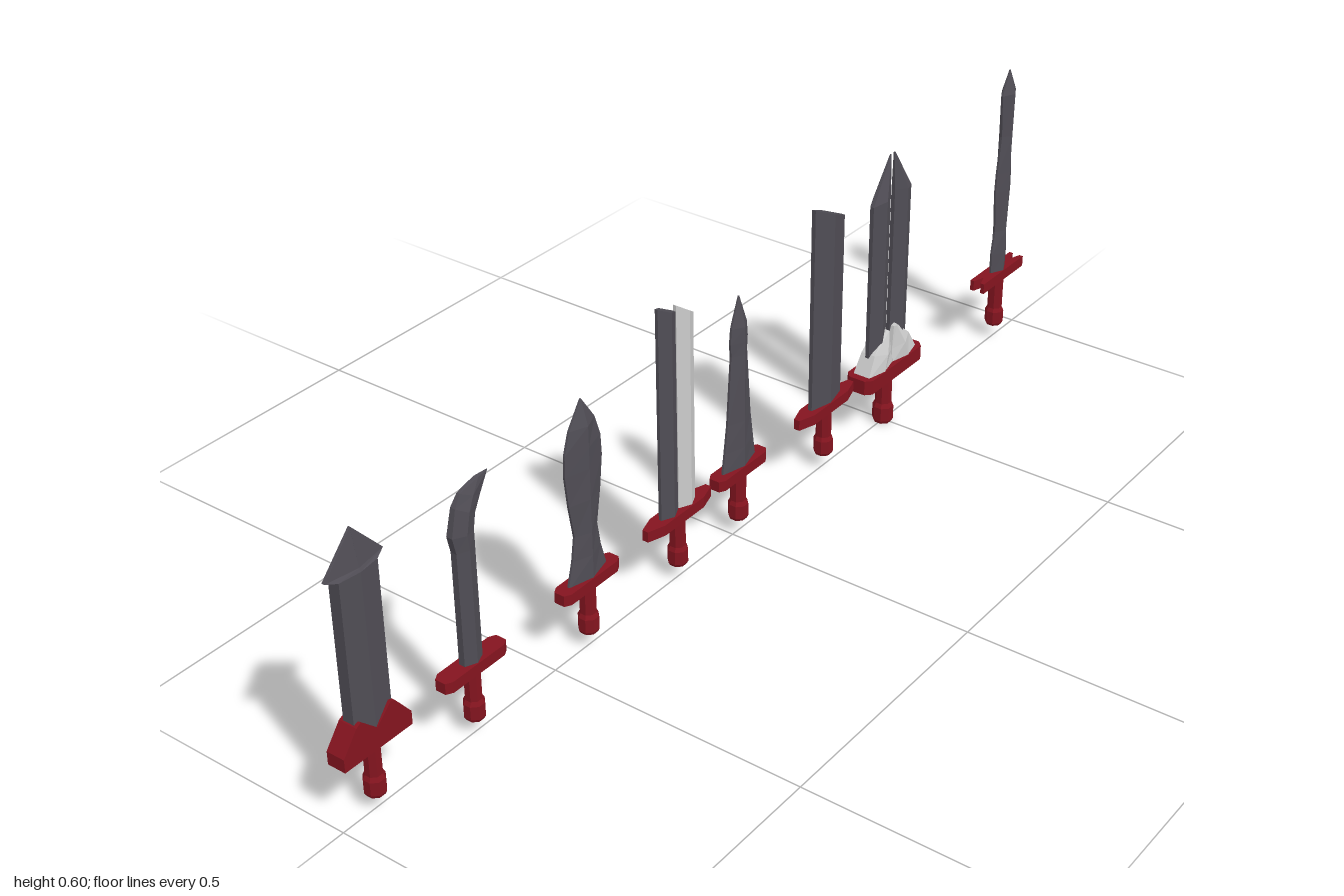
import * as THREE from 'three';

const steel = new THREE.MeshStandardMaterial({ color: 0x504d55, flatShading: true });
const red = new THREE.MeshStandardMaterial({ color: 0x84141f, flatShading: true });
const pale = new THREE.MeshStandardMaterial({ color: 0xcccccc, flatShading: true });

function add(parent, name, geometry, material) {
  const mesh = new THREE.Mesh(geometry, material);
  mesh.name = name;
  parent.add(mesh);
  return mesh;
}

// Six-sided loft; each row is [zFront, yFront, zBack, yBack, ridge half thickness, edge half thickness]
function loft(rows) {
  const pos = [], idx = [], n = 6;
  for (const [za, ya, zb, yb, t, e] of rows) {
    const zm = (za + zb) / 2, ym = (ya + yb) / 2;
    pos.push(e, ya, za, t, ym, zm, e, yb, zb, -e, yb, zb, -t, ym, zm, -e, ya, za);
  }
  const last = (rows.length - 1) * n;
  for (let r = 0; r < last; r += n) {
    for (let i = 0; i < n; i++) {
      const j = (i + 1) % n;
      idx.push(r + i, r + j, r + n + j, r + i, r + n + j, r + n + i);
    }
  }
  for (let i = 1; i < n - 1; i++) {
    idx.push(0, i + 1, i, last, last + i, last + i + 1);
  }
  const g = new THREE.BufferGeometry();
  g.setAttribute('position', new THREE.Float32BufferAttribute(pos, 3));
  g.setIndex(idx);
  g.computeVertexNormals();
  return g;
}

// Symmetric blade from [y, half width, ridge, edge] rows
const evenBlade = rows => loft(rows.map(([y, w, t = 0.015, e = 0.002]) => [w, y, -w, y, t, e]));

const shapeOf = pts => new THREE.Shape(pts.map(p => new THREE.Vector2(...p)));

// Crossguard extruded upward from its plan: blunt, pointed or forked ends
function guard(half, y0, y1, w, end) {
  const ends = {
    blunt: [[w, half - 0.012], [w * 0.6, half], [-w * 0.6, half], [-w, half - 0.012]],
    pointed: [[w, half - 0.035], [w * 0.35, half], [-w * 0.35, half], [-w, half - 0.035]],
    forked: [[w, half], [w * 0.5, half], [0, half - 0.025], [-w * 0.5, half], [-w, half]],
  }[end];
  const pts = [...ends, ...ends.map(([x, z]) => [-x, -z])];
  const g = new THREE.ExtrudeGeometry(shapeOf(pts), { depth: y1 - y0, bevelEnabled: false });
  return g.rotateX(-Math.PI / 2).translate(0, y0, 0);
}

// Side profile (z, y) extruded across x
function sidePlate(pts, w) {
  const g = new THREE.ExtrudeGeometry(shapeOf(pts), { depth: 2 * w, bevelEnabled: false });
  return g.translate(0, 0, -w).rotateY(-Math.PI / 2);
}

// Grip with a faceted pommel
function handle(sword, bottom, top, s = 1) {
  const grip = new THREE.CylinderGeometry(0.015 * s, 0.015 * s, top - bottom - 0.02, 8);
  grip.rotateY(Math.PI / 8).translate(0, (top + bottom + 0.02) / 2, 0);
  add(sword, 'grip', grip, red);
  const p = [[0, 0], [0.016, 0], [0.019, 0.006], [0.019, 0.032], [0.014, 0.042], [0, 0.042]];
  const pommel = new THREE.LatheGeometry(p.map(([r, y]) => new THREE.Vector2(r * s, bottom + y * s)), 8);
  add(sword, 'pommel', pommel.rotateY(Math.PI / 8), red);
}

export function createModel() {
  const model = new THREE.Group();
  model.name = 'swordCollection';
  const sword = (name, z) => {
    const g = new THREE.Group();
    g.name = name;
    g.position.z = z;
    model.add(g);
    return g;
  };

  // Broad blade with arrow-shaped tip and winged guard
  let s = sword('arrowSword', 0.926);
  add(s, 'blade', evenBlade([[0.13, 0.04, 0.016, 0.011], [0.45, 0.04, 0.016, 0.011],
    [0.456, 0.06, 0.013, 0.003], [0.523, 0.001, 0.002, 0.001]]), steel);
  add(s, 'guard', sidePlate([[-0.073, 0.125], [0.073, 0.125], [0.073, 0.15], [0.042, 0.19], [0.032, 0.195],
    [0, 0.165], [-0.032, 0.195], [-0.042, 0.19], [-0.073, 0.15]], 0.018), red);
  handle(s, 0.03, 0.13);

  // Curved blade
  s = sword('curvedSword', 0.698);
  add(s, 'blade', loft([
    [0.021, 0.14, -0.021, 0.14, 0.015, 0.006],
    [0.021, 0.36, -0.021, 0.36, 0.015, 0.006],
    [0.028, 0.392, -0.021, 0.385, 0.015, 0.006],
    [0.016, 0.44, -0.027, 0.412, 0.014, 0.005],
    [0.002, 0.46, -0.042, 0.436, 0.01, 0.003],
    [-0.016, 0.468, -0.064, 0.47, 0.004, 0.001],
  ]), steel);
  add(s, 'guard', guard(0.072, 0.124, 0.145, 0.017, 'blunt'), red);
  handle(s, 0.03, 0.13);

  // Leaf blade
  s = sword('leafSword', 0.41);
  add(s, 'blade', evenBlade([[0.14, 0.05], [0.19, 0.036], [0.235, 0.029], [0.3, 0.04], [0.36, 0.047],
    [0.4, 0.045], [0.44, 0.032], [0.487, 0.001, 0.001, 0.001]]), steel);
  add(s, 'guard', guard(0.072, 0.124, 0.145, 0.017, 'blunt'), red);
  handle(s, 0.03, 0.13);

  // Split blade, dark half and pale half
  s = sword('splitSword', 0.163);
  add(s, 'darkHalf', loft([[0.048, 0.14, 0.001, 0.14, 0.014, 0.003],
    [0.048, 0.56, 0.001, 0.537, 0.014, 0.003]]), steel);
  add(s, 'paleHalf', loft([[-0.001, 0.14, -0.048, 0.14, 0.014, 0.003],
    [-0.001, 0.547, -0.048, 0.515, 0.014, 0.003]]), pale);
  add(s, 'guard', guard(0.09, 0.124, 0.145, 0.017, 'pointed'), red);
  handle(s, 0.03, 0.13);

  // Tapering dagger
  s = sword('taperedSword', -0.017);
  add(s, 'blade', evenBlade([[0.14, 0.049], [0.185, 0.042], [0.24, 0.034], [0.375, 0.023], [0.4, 0.025],
    [0.43, 0.022], [0.487, 0.001, 0.001, 0.001]]), steel);
  add(s, 'guard', guard(0.072, 0.124, 0.145, 0.017, 'blunt'), red);
  handle(s, 0.03, 0.13);

  // Wide slant-topped blade
  s = sword('slantedSword', -0.29);
  add(s, 'blade', loft([[0.047, 0.14, -0.047, 0.14, 0.015, 0.004],
    [0.047, 0.56, -0.047, 0.515, 0.015, 0.004]]), steel);
  add(s, 'guard', guard(0.09, 0.124, 0.145, 0.017, 'pointed'), red);
  handle(s, 0.03, 0.13);

  // Twin blades rising from a pale collar
  s = sword('twinSword', -0.498);
  for (const side of [1, -1]) {
    const half = new THREE.Group();
    half.name = side > 0 ? 'frontHalf' : 'backHalf';
    if (side < 0) half.rotation.y = Math.PI;
    s.add(half);
    add(half, 'blade', loft([[0.064, 0.14, 0.007, 0.14, 0.016, 0.004],
      [0.064, 0.49, 0.007, 0.5, 0.016, 0.004],
      [0.008, 0.576, 0.005, 0.576, 0.001, 0.001]]), steel);
    add(half, 'collar', loft([[0.084, 0.134, 0, 0.134, 0.028, 0.018],
      [0.06, 0.176, 0.001, 0.165, 0.027, 0.015],
      [0.016, 0.214, 0.01, 0.21, 0.017, 0.012]]), pale);
  }
  add(s, 'guard', guard(0.097, 0.108, 0.138, 0.029, 'blunt'), red);
  handle(s, 0, 0.12, 1.1);

  // Long waisted blade with forked guard
  s = sword('waistedSword', -0.92);
  add(s, 'blade', evenBlade([[0.15, 0.027], [0.2, 0.029], [0.25, 0.021], [0.34, 0.029], [0.38, 0.027],
    [0.46, 0.018], [0.55, 0.025], [0.598, 0.001, 0.001, 0.001]]), steel);
  add(s, 'guard', guard(0.078, 0.136, 0.158, 0.016, 'forked'), red);
  handle(s, 0.03, 0.145);

  return model;
}
